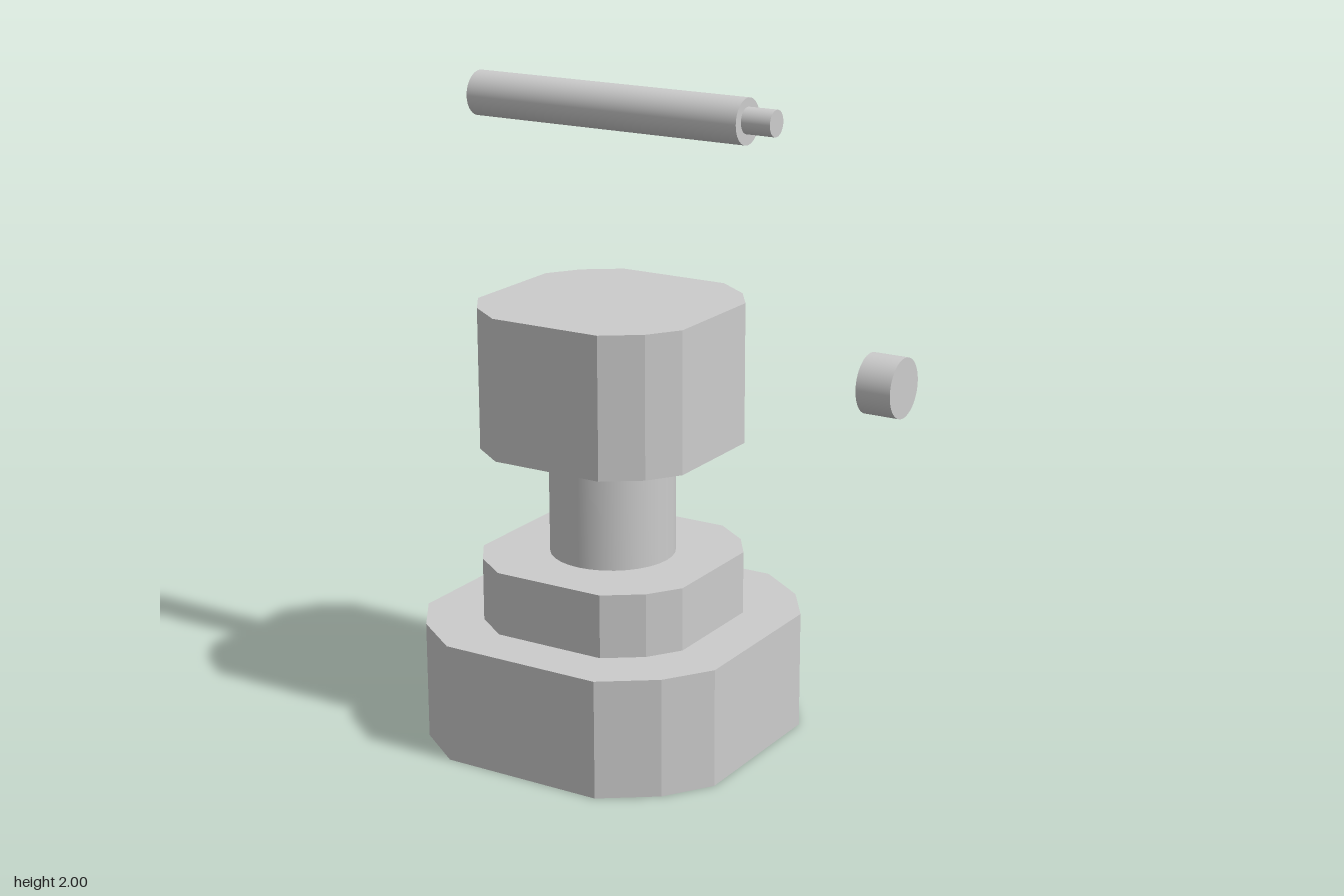
import * as THREE from 'three';

const AXIS_X = -0.23; // the stacked post stands left of centre

export function createModel() {
  const model = new THREE.Group();
  const smooth = new THREE.MeshStandardMaterial({ color: 0xcccccc });
  const flat = new THREE.MeshStandardMaterial({ color: 0xcccccc, flatShading: true });

  const add = (name, geometry, material) => {
    const mesh = new THREE.Mesh(geometry, material);
    mesh.name = name;
    model.add(mesh);
    return mesh;
  };

  // Twelve-sided block: a square whose corners are cut by two facets each
  const addBlock = (name, half, y0, y1) => {
    const corner = [[1, 0.505], [0.815, 0.78], [0.505, 1]];
    const points = [];
    for (let q = 0; q < 4; q++) {
      for (const [x, y] of corner) {
        points.push(new THREE.Vector2(x * half, y * half)
          .rotateAround(new THREE.Vector2(), q * Math.PI / 2));
      }
    }
    // mirror-symmetric facets: the corner point keeps its larger offset along x
    points.forEach((p, i) => {
      if (i % 3 === 1) p.set(Math.sign(p.x) * 0.815 * half, Math.sign(p.y) * 0.78 * half);
    });
    const geometry = new THREE.ExtrudeGeometry(new THREE.Shape(points), {
      depth: y1 - y0, bevelEnabled: false,
    });
    geometry.rotateX(-Math.PI / 2);
    add(name, geometry, flat).position.set(AXIS_X, y0, 0);
  };

  // Cylinder lying along x
  const addRod = (name, radius, x0, x1, y) => {
    const geometry = new THREE.CylinderGeometry(radius, radius, x1 - x0, 48);
    geometry.rotateZ(-Math.PI / 2);
    add(name, geometry, smooth).position.set((x0 + x1) / 2, y, 0);
  };

  // Post: base, collar, round neck and head
  addBlock('base', 0.515, 0, 0.368);
  addBlock('collar', 0.357, 0.368, 0.565);
  add('neck', new THREE.CylinderGeometry(0.193, 0.193, 0.35, 32), smooth)
    .position.set(AXIS_X, 0.74, 0);
  addBlock('head', 0.357, 0.915, 1.35);

  // Floating handle with its narrow tip
  addRod('handleRod', 0.068, -0.692, 0.232, 1.932);
  addRod('handleTip', 0.039, 0.232, 0.325, 1.935);

  // Separate end cap
  addRod('endCap', 0.088, 0.635, 0.742, 1.226);

  return model;
}
